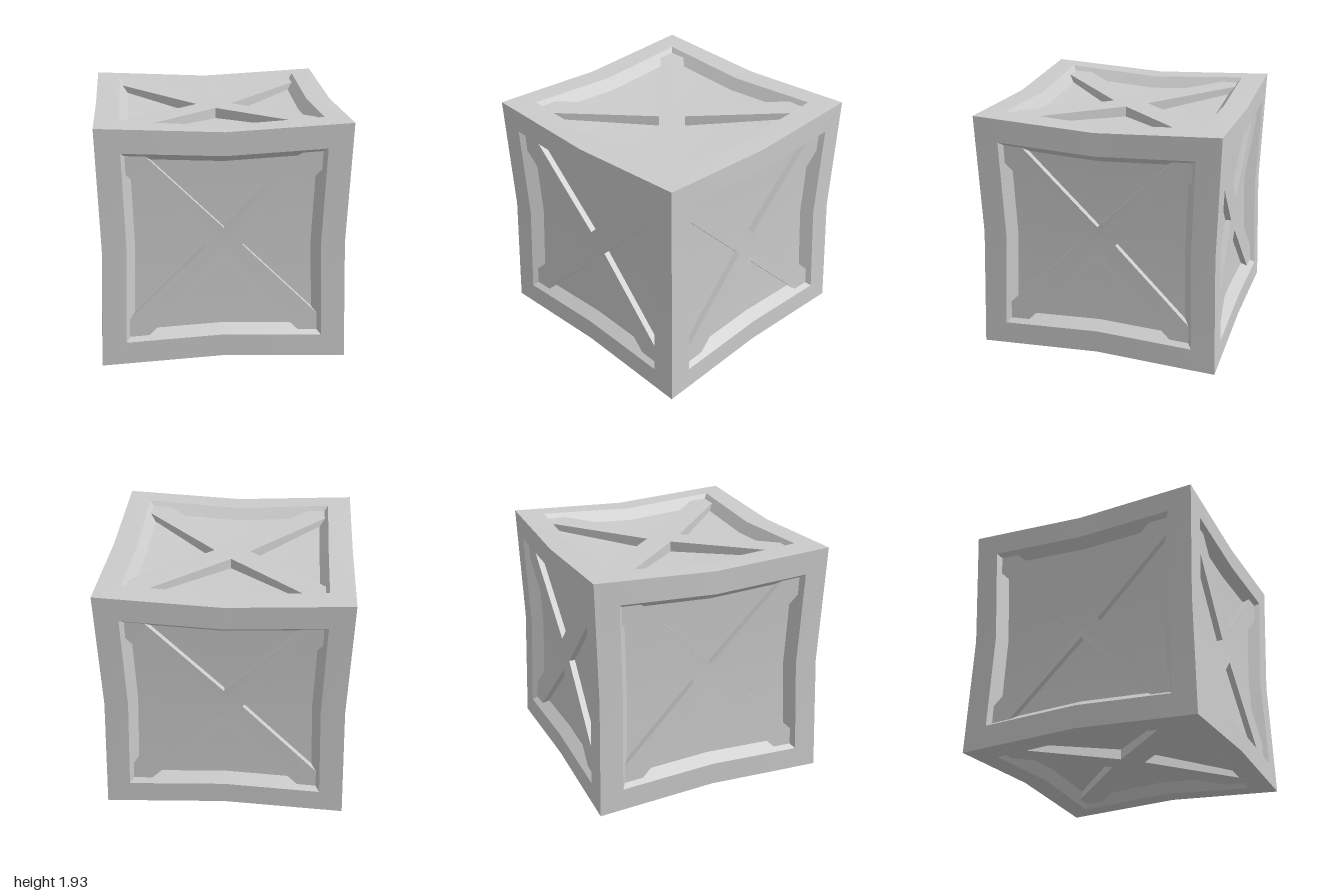
import * as THREE from 'three';
import { toCreasedNormals } from 'three/addons/utils/BufferGeometryUtils.js';

const H = 0.966;      // half side of the crate
const WINDOW = 0.773; // half width of the frame opening
const PANEL = 0.705;  // half width where the sloped walls meet the panel
const DEPTH = 0.09;   // recess of the panel edge
const BRACE = 0.04;   // recess of the brace surface

// Pinch the cube inward between its corners, by dipY in height
function warp(p, dipY) {
  const { x, y, z } = p;
  const side = 1 - 0.03 * Math.max(0, 1 - Math.abs(y) / PANEL);
  const dip = 1 - dipY * Math.max(0, 1 - Math.abs(x * z) / (PANEL * PANEL));
  return p.set(x * side, y * dip, z * side);
}

// Square ring of corners and edge midpoints, counter-clockwise
function ring(r, depth) {
  return [[1, 0], [1, 1], [0, 1], [-1, 1], [-1, 0], [-1, -1], [0, -1], [1, -1]]
    .map(([u, v]) => new THREE.Vector3(u * r, v * r, H - depth));
}

// Outline of the X brace, four pointed arms
function braceOutline(depth) {
  const pts = [];
  for (let i = 0; i < 4; i++) {
    const a = i * Math.PI / 2, c = Math.cos(a), s = Math.sin(a);
    for (const [u, v] of [[0.145, 0], [0.748, 0.603], [0.748, 0.748], [0.603, 0.748]])
      pts.push(new THREE.Vector3(u * c - v * s, u * s + v * c, H - depth));
  }
  return pts;
}

// Triangles between two loops
function band(outer, inner) {
  const tris = [];
  outer.forEach((a, i) => {
    const j = (i + 1) % outer.length;
    // split each quad from its corner point so both halves mirror
    if (i % 2) tris.push(a, outer[j], inner[i], outer[j], inner[j], inner[i]);
    else tris.push(a, outer[j], inner[j], a, inner[j], inner[i]);
  });
  return tris;
}

// Triangles from a centre point to a loop
function fan(loop, depth) {
  const centre = new THREE.Vector3(0, 0, H - depth);
  return loop.flatMap((a, i) => [centre, a, loop[(i + 1) % loop.length]]);
}

export function createModel() {
  const group = new THREE.Group();
  group.name = 'crate';
  const crate = new THREE.Group();
  crate.name = 'crateBody';
  const material = new THREE.MeshStandardMaterial({ color: 0xcccccc });

  const opening = ring(WINDOW, 0), panelEdge = ring(PANEL, DEPTH);
  const braceTop = braceOutline(BRACE), braceFoot = braceOutline(0.15);
  const frame = [...band(ring(H, 0), opening), ...band(opening, panelEdge)];
  const brace = [...fan(braceTop, BRACE), ...band(braceFoot, braceTop)];

  // Each side: turn about x, turn about y, recess at the panel centre
  const q = Math.PI / 2;
  const sides = {
    front: [0, 0, 0.09], left: [0, q, 0.09], back: [0, 2 * q, 0.09], right: [0, -q, 0.09],
    top: [-q, 0, 0.12], bottom: [q, 0, 0.12],
  };
  for (const [side, [rx, ry, centreDepth]] of Object.entries(sides)) {
    const turn = new THREE.Euler(rx, ry, 0);
    const addPart = (part, tris, dipY) => {
      const geometry = new THREE.BufferGeometry()
        .setFromPoints(tris.map((p) => warp(p.clone().applyEuler(turn), dipY)));
      const mesh = new THREE.Mesh(toCreasedNormals(geometry, 0.4), material);
      mesh.name = side + part;
      crate.add(mesh);
    };
    addPart('Frame', frame, 0.05);
    addPart('Panel', fan(panelEdge, centreDepth), 0.05);
    addPart('CrossBrace', brace, 0.035);
  }

  // Slight turn, standing on the ground
  crate.rotation.y = -0.036;
  crate.position.y = H;
  group.add(crate);
  return group;
}
